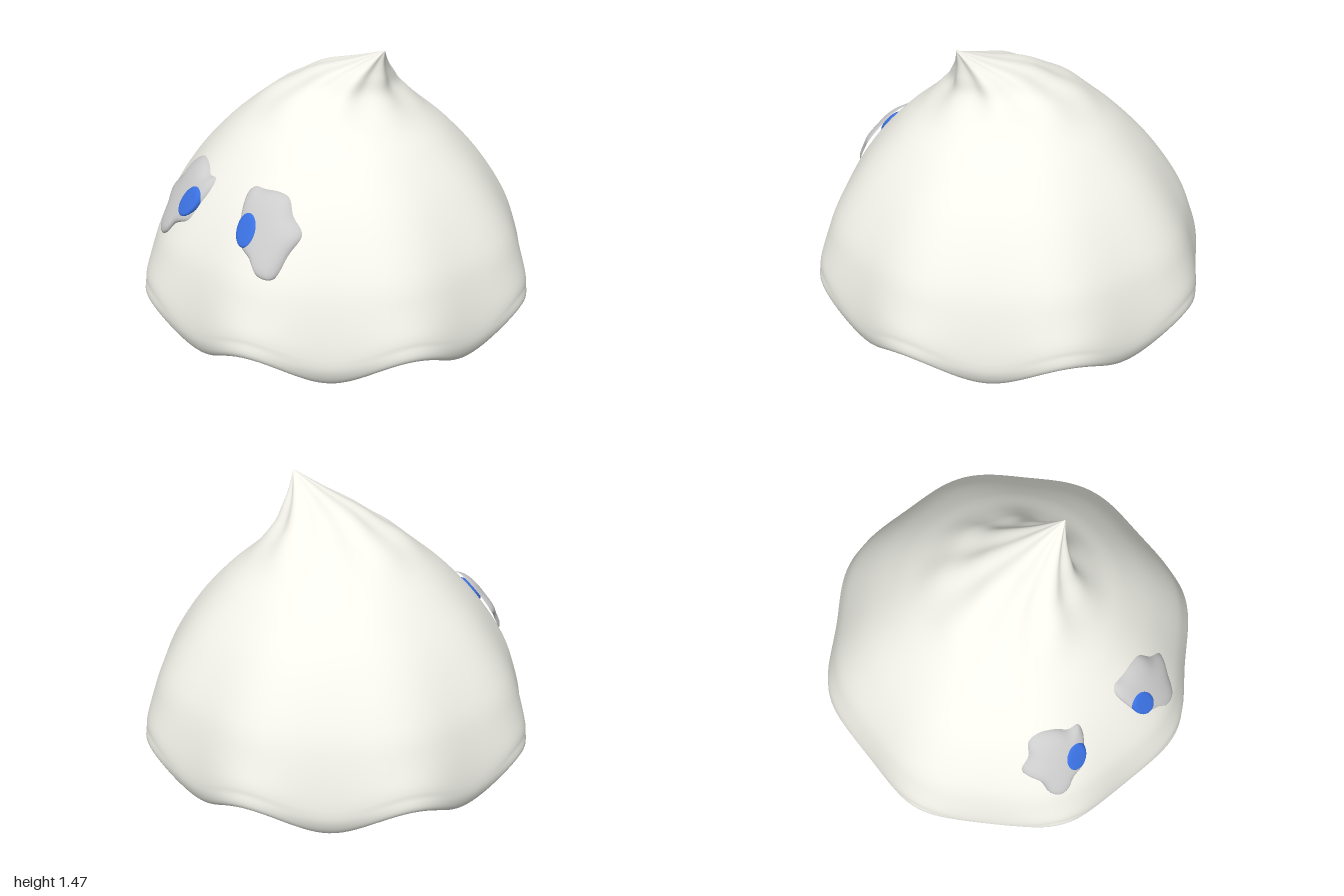
import * as THREE from 'three';

const { smoothstep } = THREE.MathUtils;
const TAU = Math.PI * 2;

// Section of the shell, from the inner ceiling round the hem to the tip: radius, height, sideways lean
const section = new THREE.CatmullRomCurve3([
  [0, 1.06, 0], [0.2, 1.04, 0], [0.42, 0.95, 0], [0.55, 0.8, 0], [0.61, 0.6, 0], [0.63, 0.38, 0],
  [0.65, 0.2, 0], [0.69, 0.09, 0], [0.77, 0.025, 0], [0.87, 0, 0], [0.95, 0.03, 0], [0.99, 0.1, 0], [0.995, 0.18, 0],
  [0.95, 0.4, 0], [0.895, 0.55, 0], [0.75, 0.79, 0], [0.585, 0.98, 0], [0.45, 1.1, 0],
  [0.355, 1.185, 0.015], [0.275, 1.25, 0.055], [0.205, 1.32, 0.118], [0.1, 1.39, 0.225], [0, 1.465, 0.34],
].map((p) => new THREE.Vector3(...p)));

// Rounded octagon: wider at the eight corners, fading to a circle higher up
const octagon = (a, y) => 1 + 0.02 * (1 - smoothstep(y, 0.35, 1.25)) * (1 - Math.cos(8 * a));

// Smooth surface from rows of closed rings
function rings(rows, cols, pointAt) {
  const pos = [], index = [];
  for (let i = 0; i <= rows; i++) {
    for (let j = 0; j < cols; j++) {
      pos.push(...pointAt(i / rows, j / cols));
      if (i === rows) continue;
      const a = i * cols + j, b = i * cols + (j + 1) % cols;
      index.push(a, b, a + cols, b, b + cols, a + cols);
    }
  }
  const geo = new THREE.BufferGeometry();
  geo.setAttribute('position', new THREE.Float32BufferAttribute(pos, 3));
  geo.setIndex(index);
  geo.computeVertexNormals();
  return geo;
}

function shellPoint(t, v) {
  const p = section.getPoint(t), a = v * TAU, c8 = Math.cos(8 * a);
  const outer = smoothstep(t, 0.36, 0.45);
  // grooves at the tip, on the inner wall and under the hem
  const flute = 0.05 * outer * smoothstep(p.y, 1.05, 1.32) * c8;
  const groove = (0.025 * (1 - outer) + 0.025 * outer * (1 - smoothstep(p.y, 0, 0.15))) * (1 - c8);
  const r = p.x * (octagon(a, p.y) + flute + groove);
  const flatten = 1 - 0.14 * outer * smoothstep(p.y, 1.2, 1.36);
  // the hem rises between the eight lobes
  const lift = 0.065 * (1 - c8) * (1 - smoothstep(p.y, 0, 0.45));
  return [p.z + r * Math.sin(a), p.y + lift, r * Math.cos(a) * flatten];
}

// Depth of the front of the dome at a given x and y
function frontZ(x, y) {
  let lo = 0.6, hi = 1;
  for (let i = 0; i < 24; i++) {
    const mid = (lo + hi) / 2;
    if (section.getPoint(mid).y < y) lo = mid; else hi = mid;
  }
  const r = section.getPoint(lo).x;
  let z = r;
  for (let i = 0; i < 6; i++) z = Math.sqrt((r * octagon(Math.atan2(x, z), y)) ** 2 - x * x);
  return z;
}

// Padded patch that follows the dome, standing out more at its top and outer side; outline runs anticlockwise
function patch(outline, cx, cy, base, height, power) {
  return rings(16, 64, (t, v) => {
    const s = Math.sin((1 - t) * Math.PI / 2), o = outline(v);
    const x = cx + (o.x - cx) * s, y = cy + (o.y - cy) * s;
    const tilt = 0.1 * (y - 0.73) + 0.15 * (Math.abs(x) - 0.3);
    const pad = height * Math.sqrt(Math.max(0, 1 - s ** power));
    return [x, y, frontZ(x, y) + base + tilt + pad];
  });
}

const closedCurve = (pts) => {
  const c = new THREE.CatmullRomCurve3(pts.map(([x, y]) => new THREE.Vector3(x, y, 0)), true);
  return (v) => c.getPoint(v);
};

const eyeOutlines = {
  left: [[0.12, 0.86], [0.15, 0.76], [0.2, 0.665], [0.31, 0.61], [0.38, 0.55], [0.44, 0.55],
    [0.46, 0.66], [0.473, 0.74], [0.4, 0.81], [0.34, 0.875], [0.28, 0.89], [0.2, 0.885], [0.14, 0.885]],
  right: [[-0.12, 0.85], [-0.18, 0.85], [-0.24, 0.88], [-0.31, 0.89], [-0.375, 0.86], [-0.41, 0.79],
    [-0.47, 0.71], [-0.42, 0.64], [-0.405, 0.55], [-0.37, 0.52], [-0.32, 0.54], [-0.27, 0.6],
    [-0.17, 0.645], [-0.145, 0.72], [-0.115, 0.8]],
};

export function createModel() {
  const model = new THREE.Group();
  const add = (name, geo, color) => {
    const mesh = new THREE.Mesh(geo, new THREE.MeshStandardMaterial({ color }));
    mesh.name = name;
    model.add(mesh);
  };

  // Hollow dome with scalloped hem and leaning tip
  add('domeShell', rings(132, 192, shellPoint), 0xf4f4ec);

  // Two irregular eye patches, each with an oval pupil
  for (const [side, cx, pupilX, dir] of [['left', 0.3, 0.235, 1], ['right', -0.29, -0.212, -1]]) {
    add(side + 'EyePatch', patch(closedCurve(eyeOutlines[side]), cx, 0.73, 0, 0.045, 6), 0xcccccc);
    const oval = (v) => {
      const px = 0.062 * Math.cos(v * TAU), py = 0.082 * Math.sin(v * TAU), q = 0.5 * dir;
      return new THREE.Vector3(
        pupilX + px * Math.cos(q) - py * Math.sin(q), 0.73 + px * Math.sin(q) + py * Math.cos(q), 0);
    };
    add(side + 'Pupil', patch(oval, pupilX, 0.73, 0.01, 0.042, 10), 0x3a70e0);
  }
  return model;
}
